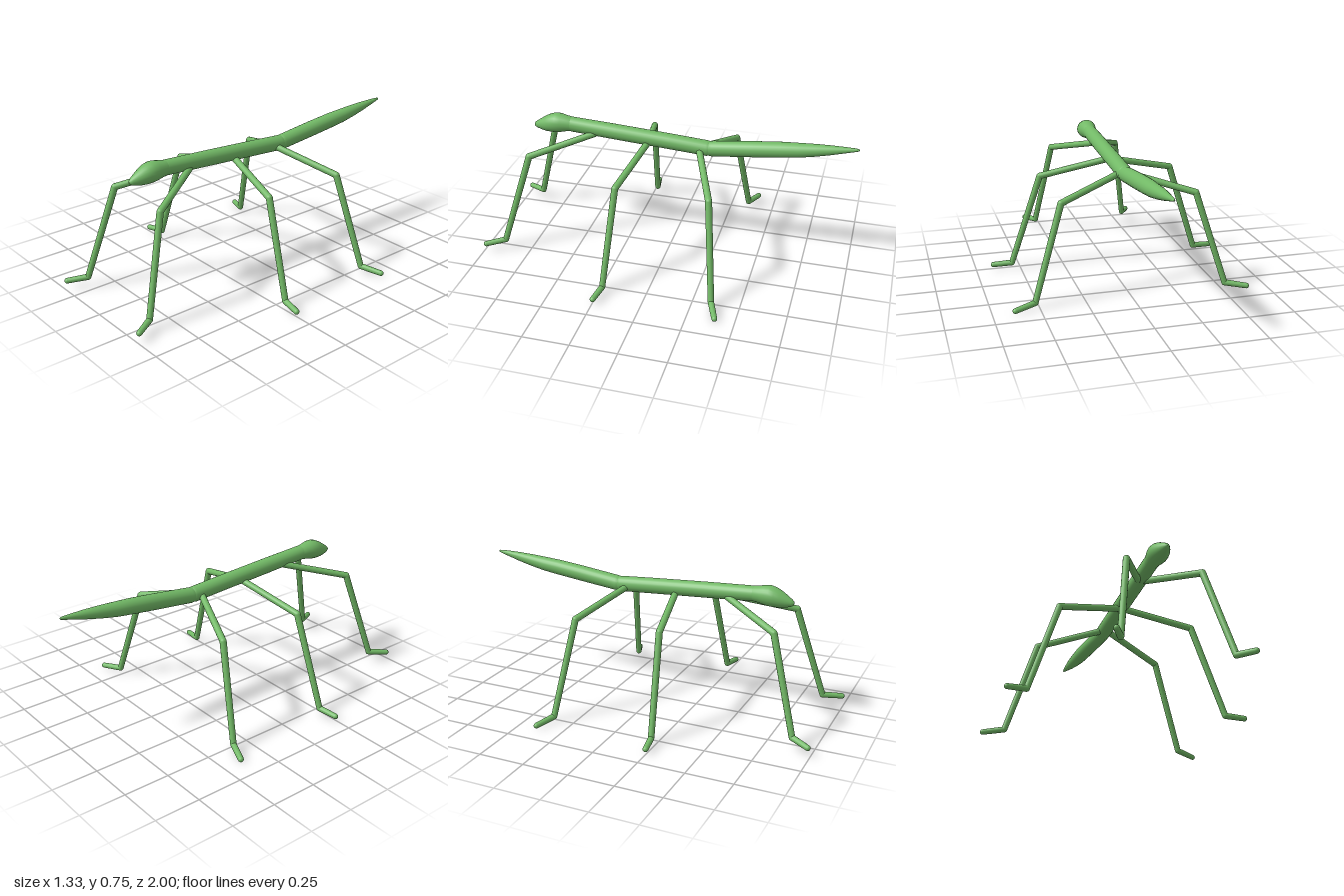
import * as THREE from 'three';

const green = new THREE.MeshStandardMaterial({ color: 0x72b966 });
green.name = 'leaf green';

// Round skin through sections [z, centre y, radius], listed front to back
function loft(name, sections, sides = 24) {
  const pos = [], index = [];
  for (const [z, y, r] of sections) {
    for (let i = 0; i < sides; i++) {
      const a = (i / sides) * Math.PI * 2;
      pos.push(Math.cos(a) * r, y + Math.sin(a) * r, z);
    }
  }
  for (let s = 0; s < sections.length - 1; s++) {
    for (let i = 0; i < sides; i++) {
      const j = (i + 1) % sides;
      const a = s * sides + i, b = s * sides + j;
      const c = a + sides, d = b + sides;
      index.push(a, c, b, b, c, d);
    }
  }
  const geo = new THREE.BufferGeometry();
  geo.setAttribute('position', new THREE.Float32BufferAttribute(pos, 3));
  geo.setIndex(index);
  geo.computeVertexNormals();
  const mesh = new THREE.Mesh(geo, green);
  mesh.name = name;
  return mesh;
}

// Straight leg segment between two joints
function segment(name, a, b, r0, r1) {
  const mesh = new THREE.Mesh(new THREE.CylinderGeometry(r1, r0, a.distanceTo(b), 14, 1, true), green);
  mesh.position.copy(a).lerp(b, 0.5);
  mesh.quaternion.setFromUnitVectors(new THREE.Vector3(0, 1, 0), b.clone().sub(a).normalize());
  mesh.name = name;
  return mesh;
}

// Jointed leg: hip, knee, ankle, toe
function leg(name, points, side) {
  const group = new THREE.Group();
  group.name = name;
  const p = points.map(([x, y, z]) => new THREE.Vector3(x * side, y, z));
  const radii = [0.018, 0.018, 0.0165, 0.015];
  ['thigh', 'shin', 'foot'].forEach((part, i) => {
    group.add(segment(part, p[i], p[i + 1], radii[i], radii[i + 1]));
  });
  ['hip', 'knee', 'ankle', 'toe'].forEach((part, i) => {
    const joint = new THREE.Mesh(new THREE.SphereGeometry(radii[i], 14, 10), green);
    joint.position.copy(p[i]);
    joint.name = part;
    group.add(joint);
  });
  return group;
}

export function createModel() {
  const model = new THREE.Group();
  model.name = 'stickInsect';

  // Head, pointed at the snout
  model.add(loft('head', [
    [0.781, 0.667, 0], [0.777, 0.667, 0.012], [0.765, 0.669, 0.02], [0.74, 0.674, 0.032],
    [0.71, 0.681, 0.044], [0.68, 0.688, 0.052], [0.65, 0.692, 0.055], [0.62, 0.693, 0.051],
    [0.595, 0.693, 0.045], [0.56, 0.692, 0.04], [0.53, 0.69, 0.03],
  ]));
  // Long thorax sloping down to the back
  model.add(loft('thorax', [
    [0.6, 0.694, 0], [0.595, 0.694, 0.036], [0.56, 0.692, 0.041], [0.3, 0.677, 0.0425],
    [0, 0.659, 0.0425], [-0.2, 0.646, 0.042], [-0.235, 0.646, 0.036], [-0.25, 0.646, 0],
  ]));
  // Raised, tapering abdomen
  model.add(loft('abdomen', [
    [-0.17, 0.645, 0], [-0.19, 0.645, 0.036], [-0.23, 0.647, 0.042], [-0.45, 0.673, 0.043],
    [-0.6, 0.69, 0.042], [-0.69, 0.699, 0.039], [-0.78, 0.711, 0.033], [-0.86, 0.722, 0.025],
    [-0.93, 0.732, 0.016], [-0.975, 0.738, 0.01], [-0.995, 0.74, 0.006], [-1, 0.74, 0],
  ]));

  // Three mirrored pairs of legs
  const legs = {
    Front: [[0.02, 0.66, 0.425], [0.203, 0.57, 0.742], [0.288, 0.062, 0.888], [0.342, 0.05, 0.985]],
    Middle: [[0.02, 0.638, 0.127], [0.38, 0.55, 0.197], [0.548, 0.038, 0.229], [0.652, 0.029, 0.247]],
    Back: [[0.02, 0.638, -0.163], [0.365, 0.54, -0.295], [0.522, 0.032, -0.354], [0.633, 0.018, -0.397]],
  };
  for (const [name, points] of Object.entries(legs)) {
    model.add(leg('left' + name + 'Leg', points, 1));
    model.add(leg('right' + name + 'Leg', points, -1));
  }
  return model;
}
